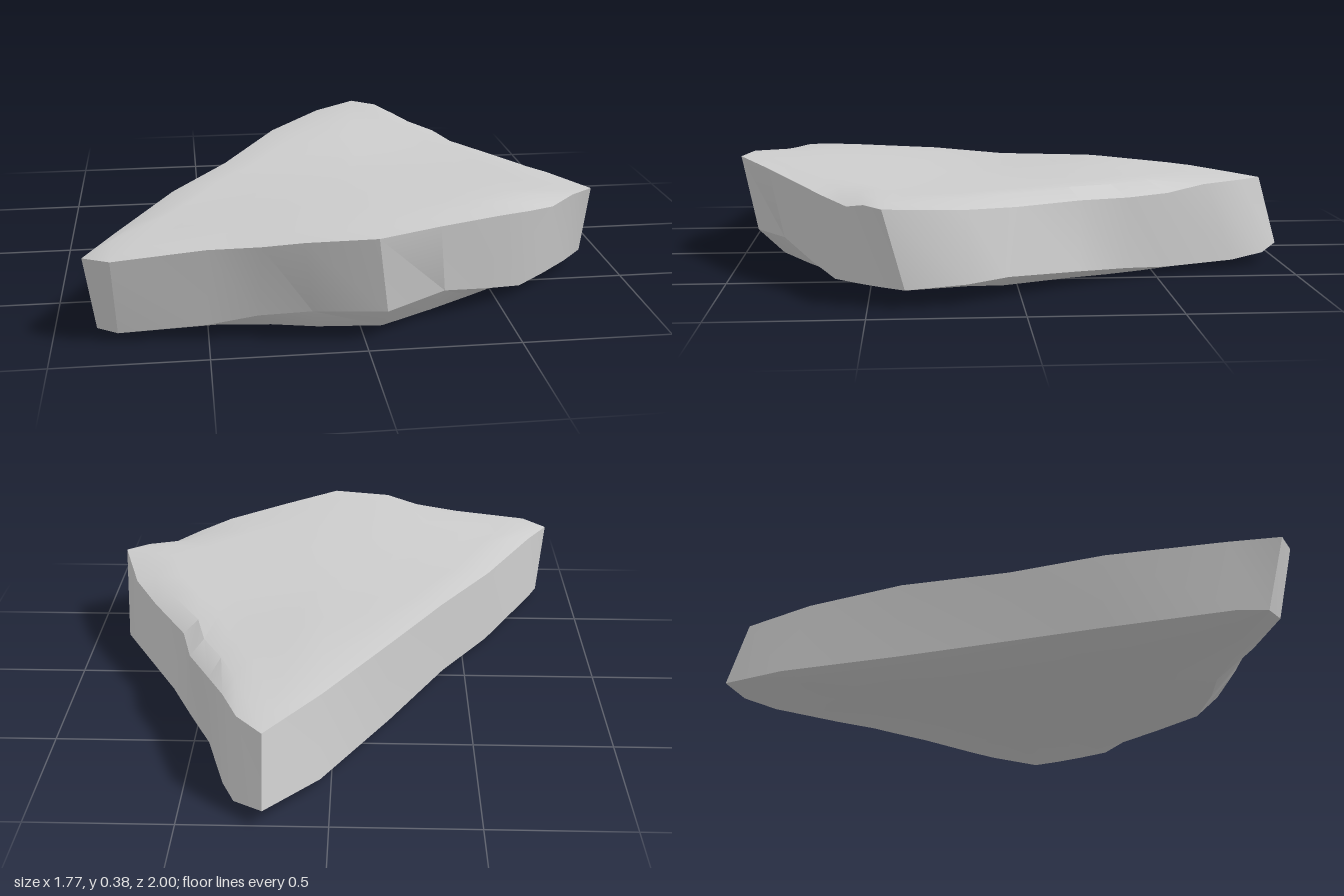
import * as THREE from 'three';
import { toCreasedNormals } from 'three/addons/utils/BufferGeometryUtils.js';

// Rim stations around the slab: top rim x, y, z, then bottom rim x, y, z
const RIM = [
  [0.215, 0.31, -0.93, 0.215, 0.06, -1.0],
  [0.305, 0.315, -0.835, 0.315, 0.045, -0.925],
  [0.365, 0.31, -0.69, 0.365, 0.03, -0.8],
  [0.43, 0.29, -0.545, 0.44, 0.025, -0.545],
  [0.515, 0.29, -0.39, 0.525, 0.042, -0.39],
  [0.56, 0.29, -0.22, 0.61, 0.053, -0.22],
  [0.7, 0.295, 0.01, 0.77, 0.075, 0.04],
  [0.8, 0.305, 0.19, 0.845, 0.07, 0.18],
  [0.885, 0.325, 0.45, 0.88, 0.062, 0.38],
  [0.8, 0.325, 0.51, 0.8, 0.055, 0.46],
  [0.71, 0.305, 0.57, 0.7, 0.045, 0.54],
  [0.6, 0.325, 0.66, 0.59, 0.035, 0.62],
  [0.48, 0.345, 0.745, 0.46, 0.07, 0.71],
  [0.25, 0.365, 0.875, 0.28, 0.118, 0.82],
  [0.03, 0.38, 1.0, 0.07, 0.107, 0.94],
  [-0.2, 0.37, 0.98, -0.17, 0.113, 0.92],
  [-0.33, 0.345, 0.935, -0.34, 0.09, 0.88],
  [-0.5, 0.33, 0.9, -0.5, 0.055, 0.855],
  [-0.8, 0.3, 0.89, -0.79, 0.03, 0.83],
  [-0.89, 0.29, 0.82, -0.86, 0.02, 0.76],
  [-0.8, 0.303, 0.66, -0.82, 0.03, 0.66],
  [-0.6, 0.317, 0.28, -0.6, 0.03, 0.26],
  [-0.4, 0.322, -0.02, -0.41, 0.04, -0.03],
  [-0.19, 0.34, -0.385, -0.2, 0.04, -0.4],
  [0.03, 0.33, -0.71, 0.035, 0.05, -0.8],
];
const CX = 0.05, CZ = 0.15;

const bump = (x, z, bx, bz, r) => Math.exp(-((x - bx) ** 2 + (z - bz) ** 2) / (r * r));
// Gentle swells of the broad top
const topY = (x, z) => 0.326 + 0.05 * bump(x, z, 0, 1, 0.65)
  + 0.032 * bump(x, z, 0.03, -0.37, 0.3) - 0.015 * bump(x, z, -0.8, 0.75, 0.25);
// Underside, lifting towards the back tip and the side corner
const bottomY = (x, z) => 0.016 - 0.015 * bump(x, z, 0.35, -0.5, 0.3)
  + 0.045 * bump(x, z, 0.21, -1, 0.25) + 0.045 * bump(x, z, 0.9, 0.35, 0.3);

// A rim shrunk towards the middle, laid on a height rule
function inset(offset, scale, height) {
  return RIM.map((p) => {
    const x = CX + (p[offset] - CX) * scale;
    const z = CZ + (p[offset + 2] - CZ) * scale;
    return [x, height(x, z), z];
  });
}

export function createModel() {
  // Rings from the underside's middle, up the broken edge, to the top's middle
  const rings = [
    ...[0.3, 0.6, 0.88].map((s) => inset(3, s, bottomY)),
    RIM.map((p) => p.slice(3)),
    RIM.map((p) => p.slice(0, 3)),
    ...[0.9, 0.75, 0.6, 0.4, 0.2].map((s) => inset(0, s, topY)),
  ];
  const n = RIM.length;
  const pos = [];
  const tri = (a, b, c) => pos.push(...a, ...b, ...c);
  const low = [CX, bottomY(CX, CZ), CZ];
  const high = [CX, topY(CX, CZ), CZ];
  const last = rings[rings.length - 1];

  for (let j = 0; j < n; j++) {
    const k = (j + 1) % n;
    for (let i = 0; i < rings.length - 1; i++) {
      const [lo, up] = [rings[i], rings[i + 1]];
      tri(lo[j], up[j], up[k]);
      tri(lo[j], up[k], lo[k]);
    }
    tri(low, rings[0][j], rings[0][k]);
    tri(last[j], high, last[k]);
  }

  const geometry = new THREE.BufferGeometry();
  geometry.setAttribute('position', new THREE.Float32BufferAttribute(pos, 3));
  const slab = new THREE.Mesh(
    toCreasedNormals(geometry, 0.55),
    new THREE.MeshStandardMaterial({ color: 0xcccccc })
  );
  slab.name = 'stoneSlab';

  const group = new THREE.Group();
  group.name = 'brokenStone';
  group.add(slab);
  return group;
}
